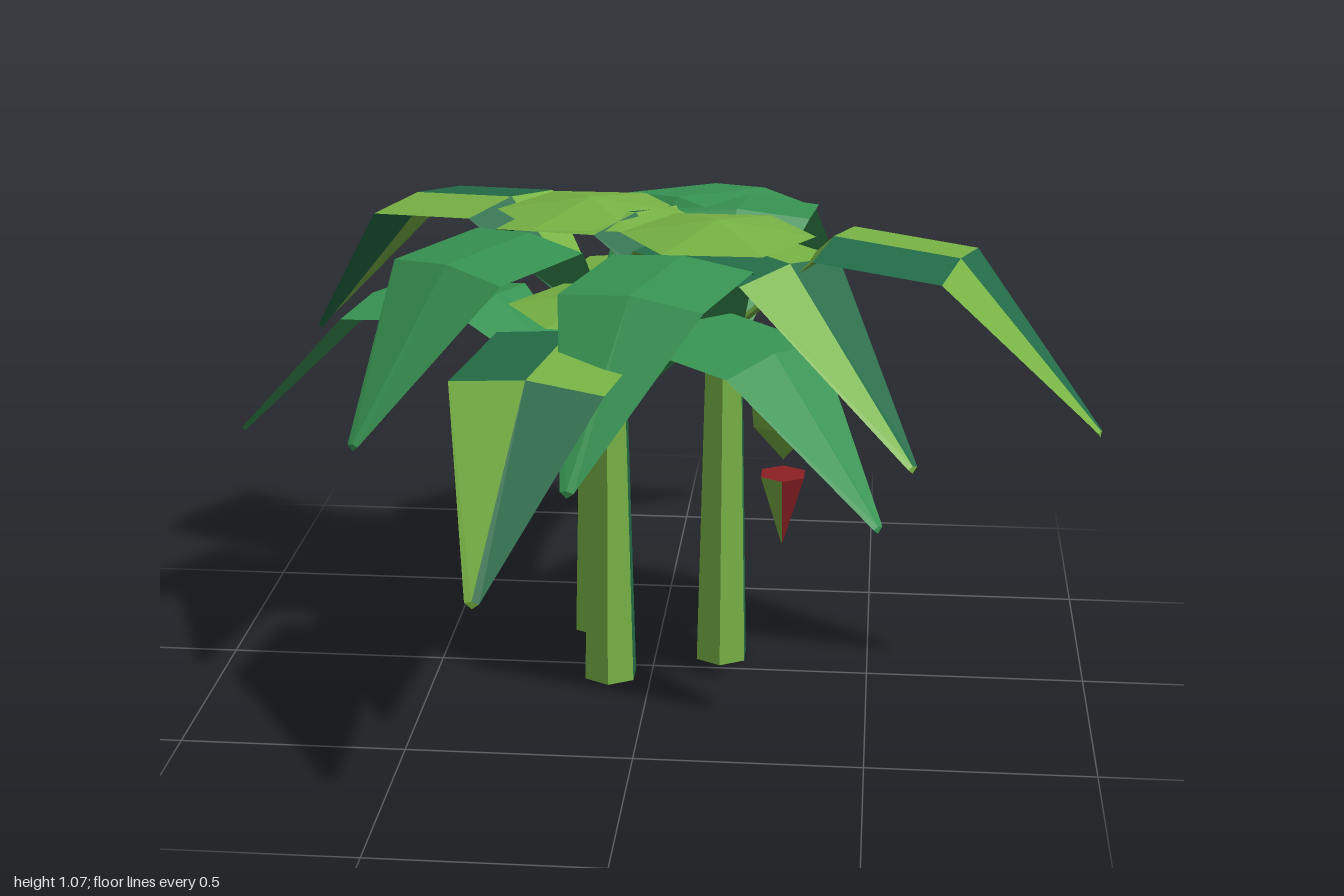
import * as THREE from 'three';

const flat = (name, color) => {
  const m = new THREE.MeshStandardMaterial({ color, flatShading: true });
  m.name = name;
  return m;
};

export function createModel() {
  const light = flat('lightGreen', 0x78b345);
  const teal = flat('tealGreen', 0x246c48);
  const green = flat('midGreen', 0x389453);
  const red = flat('flowerRed', 0x8c2024);
  const model = new THREE.Group();
  model.name = 'palmCluster';

  const add = (parent, geo, mat, name) => {
    const mesh = new THREE.Mesh(geo, mat);
    mesh.name = name;
    parent.add(mesh);
    return mesh;
  };

  // Six-sided tapered column; faceCodes gives the material index of each side
  const hexColumn = (rTop, rBottom, h, faceCodes) => {
    const geo = new THREE.CylinderGeometry(rTop, rBottom, h, 6, 1);
    geo.clearGroups();
    faceCodes.forEach((c, i) => geo.addGroup(i * 6, 6, c));
    geo.addGroup(36, geo.index.count - 36, 0);
    return geo;
  };

  // Leaf: a ridged section with a keel below, swept over four stations.
  // Groups 0 and 1 form a checkerboard across the ridge.
  const leafGeometry = (root, tip, h) => {
    const dx = tip[0] - root[0], dz = tip[1] - root[1];
    const len = Math.hypot(dx, dz), fx = dx / len, fz = dz / len;
    const stations = [ // distance, height, half width, edge drop, keel depth
      [0.02, h - 0.22, 0.05, 0.01, 0.02],
      [0.29 * len, h + 0.005, 0.17, 0.018, 0.04],
      [0.62 * len, h - 0.02, 0.17, 0.018, 0.04],
      [len - 0.005, tip[2], 0.016, 0.004, 0.016],
    ];
    const rings = stations.map(([d, y, w, drop, keel]) =>
      [[1, drop], [0, 0], [-1, drop], [0, keel]].map(([side, down]) => [
        root[0] + fx * d + fz * w * side,
        y - down,
        root[1] + fz * d - fx * w * side,
      ]));
    const tris = [[], []];
    const quad = (code, a, b, c, d) => tris[code].push(...a, ...b, ...c, ...a, ...c, ...d);
    for (let s = 0; s < 3; s++) {
      for (let k = 0; k < 4; k++) {
        const n = (k + 1) % 4, left = k === 0 || k === 3;
        const code = (s === 1) === left ? 0 : 1;
        quad(code, rings[s][n], rings[s + 1][n], rings[s + 1][k], rings[s][k]);
      }
    }
    // End caps
    const [b, t] = [rings[0], rings[3]];
    quad(0, t[1], t[2], t[3], t[0]);
    quad(0, b[0], b[3], b[2], b[1]);
    const geo = new THREE.BufferGeometry();
    geo.setAttribute('position', new THREE.Float32BufferAttribute([...tris[0], ...tris[1]], 3));
    geo.addGroup(0, tris[0].length / 3, 0);
    geo.addGroup(tris[0].length / 3, tris[1].length / 3, 1);
    geo.computeVertexNormals();
    return geo;
  };

  // Trees: trunk position, crown height, trunk side colours, crown cap centre,
  // leaf tips as x, z, y. Two-tone and plain leaves alternate around each crown.
  const trees = [
    { at: [-0.095, 0.055], h: 0.9, sides: [0, 1, 1, 0, 1, 0], cap: [-0.1, 0.06],
      tips: [[-0.28, 0.9, 0.52], [0.52, 0.46, 0.54], [0.01, -0.78, 0.52], [-1, -0.18, 0.51]] },
    { at: [-0.15, -0.23], h: 1.035, sides: [1, 0, 1, 0, 1, 0], cap: [-0.17, -0.27],
      tips: [[-0.9, -0.62, 0.64], [-0.62, 0.38, 0.66], [0.59, 0.33, 0.63], [0.44, -0.9, 0.63]] },
    { at: [0.155, -0.08], h: 1.04, sides: [0, 1, 1, 0, 1, 0], cap: [0.14, -0.055],
      tips: [[1, 0.14, 0.66], [-0.12, 0.66, 0.67], [-0.58, -0.48, 0.62], [0.2, -0.83, 0.68]] },
  ];
  trees.forEach(({ at, h, sides, cap, tips }) => {
    const tree = new THREE.Group();
    tree.name = 'tree';
    const top = h - 0.22;
    add(tree, hexColumn(0.045, 0.065, top, sides), [light, teal], 'trunk')
      .position.set(at[0], top / 2, at[1]);
    // Low six-sided dome over the leaf bases
    const dome = add(tree, new THREE.ConeGeometry(0.22, 0.035, 6), light, 'crownCap');
    dome.position.set(cap[0], h + 0.01, cap[1]);
    dome.rotation.y = Math.PI / 6;
    tips.forEach((tip, i) => {
      const plain = i % 2 === 1;
      add(tree, leafGeometry(at, tip, plain ? h - 0.012 : h),
        plain ? [green, green] : [light, teal], plain ? 'plainLeaf' : 'twoToneLeaf');
    });
    model.add(tree);
  });

  // Hanging fruit bunch with the flower bud below it
  const profile = [[0, 0.505], [0.078, 0.595], [0.088, 0.71], [0, 0.81]]
    .map(([r, y]) => new THREE.Vector2(r, y));
  add(model, new THREE.LatheGeometry(profile, 6), light, 'fruitBunch').position.set(0.295, 0, -0.053);
  add(model, hexColumn(0.057, 0.002, 0.17, [0, 0, 0, 0, 0, 1]), [red, light], 'flowerBud')
    .position.set(0.295, 0.385, -0.053);

  return model;
}
